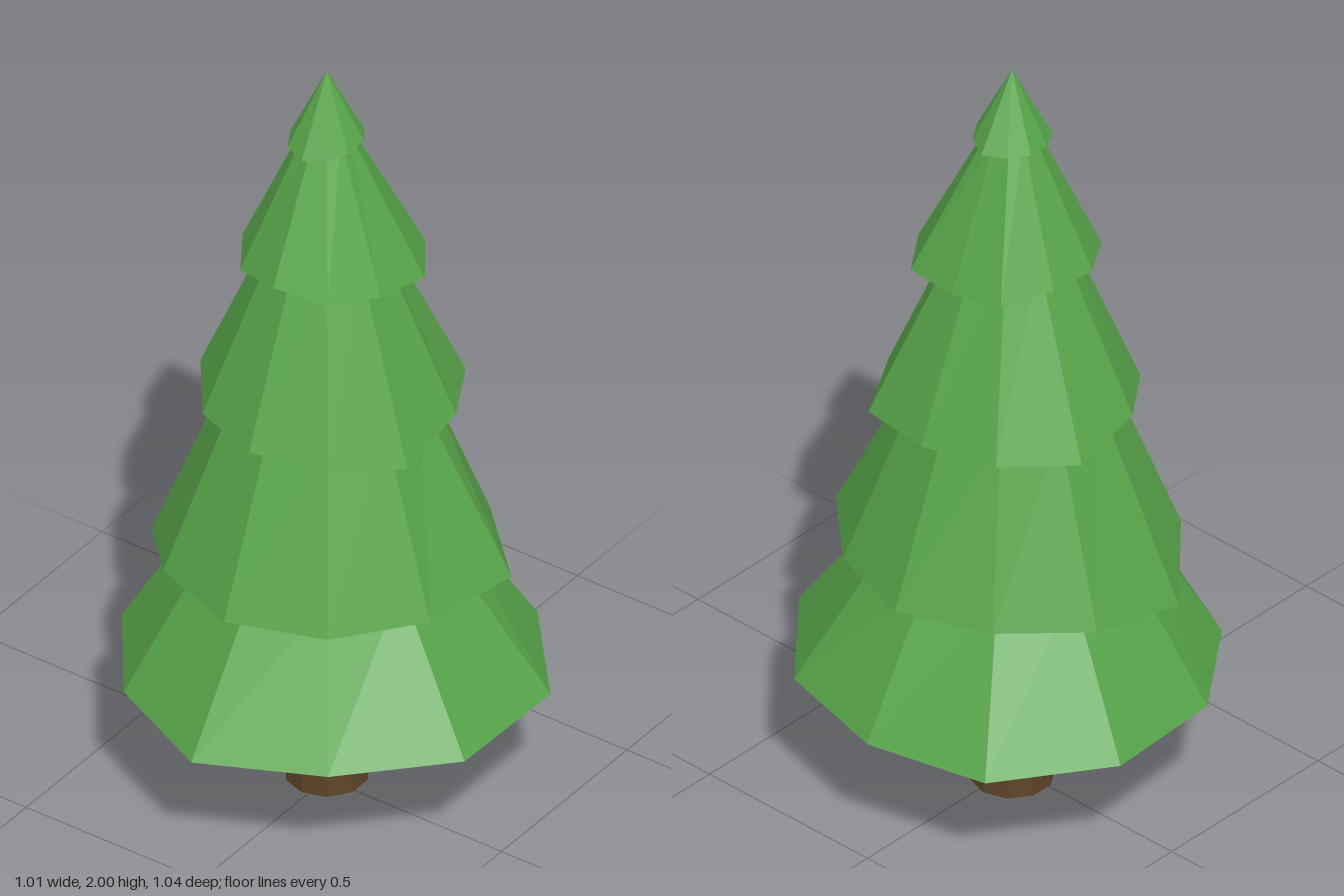
import * as THREE from 'three';

const SIDES = 10;

// A ring of corners, starting at the back and turning towards +x.
// r and y are either one number or one value per corner.
function ring(r, y) {
  const at = (v, i) => (Array.isArray(v) ? v[i] : v);
  return Array.from({ length: SIDES }, (_, i) => {
    const a = (i / SIDES) * Math.PI * 2;
    return [at(r, i) * Math.sin(a), at(y, i), -at(r, i) * Math.cos(a)];
  });
}

// Skin a stack of rings with outward-facing facets.
function skin(rings) {
  const pos = [];
  for (let k = 0; k < rings.length - 1; k++) {
    const lo = rings[k], up = rings[k + 1];
    for (let i = 0; i < SIDES; i++) {
      const j = (i + 1) % SIDES;
      pos.push(...lo[j], ...lo[i], ...up[i], ...lo[j], ...up[i], ...up[j]);
    }
  }
  const g = new THREE.BufferGeometry();
  g.setAttribute('position', new THREE.Float32BufferAttribute(pos, 3));
  g.computeVertexNormals();
  return g;
}

// Branch tiers: uneven rim, then the ring where the tier meets the next one
const TIERS = [
  { r: [0.495, 0.516, 0.545, 0.54, 0.497, 0.54, 0.497, 0.5, 0.517, 0.526], y: 0.34, top: [0.29, 0.7] },
  { r: [0.4, 0.4, 0.45, 0.405, 0.405, 0.41, 0.4, 0.427, 0.405, 0.376],
    y: [0.667, 0.665, 0.655, 0.66, 0.665, 0.665, 0.665, 0.605, 0.65, 0.66], top: [0.225, 1.12] },
  { r: [0.31, 0.34, 0.315, 0.317, 0.31, 0.31, 0.304, 0.308, 0.332, 0.316],
    y: [1.09, 1.075, 1.09, 1.045, 1.088, 1.09, 1.09, 1.11, 1.08, 1.09], top: [0.13, 1.53] },
  { r: [0.205, 0.24, 0.239, 0.21, 0.223, 0.213, 0.212, 0.205, 0.199, 0.22],
    y: [1.465, 1.465, 1.462, 1.475, 1.485, 1.505, 1.48, 1.49, 1.49, 1.48], top: [0.055, 1.835] },
  { r: [0.105, 0.093, 0.09, 0.084, 0.093, 0.1, 0.096, 0.089, 0.089, 0.091],
    y: [1.81, 1.815, 1.82, 1.813, 1.805, 1.8, 1.805, 1.81, 1.81, 1.81], top: [0, 2] },
];

export function createModel() {
  const tree = new THREE.Group();
  tree.name = 'pineTree';

  // Trunk with a flared foot
  const profile = [[0, 0], [0.1, 0], [0.065, 0.34], [0.06, 0.56]].map(([x, y]) => new THREE.Vector2(x, y));
  const trunk = new THREE.Mesh(
    new THREE.LatheGeometry(profile, SIDES),
    new THREE.MeshStandardMaterial({ color: 0x5a4228, flatShading: true }),
  );
  trunk.name = 'trunk';

  // Foliage: hollow underside, then each tier's rim and neck up to the tip
  const rings = [ring(0, 0.54), ring(0.15, 0.54)];
  for (const t of TIERS) rings.push(ring(t.r, t.y), ring(...t.top));
  const foliage = new THREE.Mesh(
    skin(rings),
    new THREE.MeshStandardMaterial({ color: 0x58a54a, flatShading: true }),
  );
  foliage.name = 'foliage';

  tree.add(trunk, foliage);
  tree.children.forEach((part) => part.position.set(-0.015, 0, -0.022));
  return tree;
}
